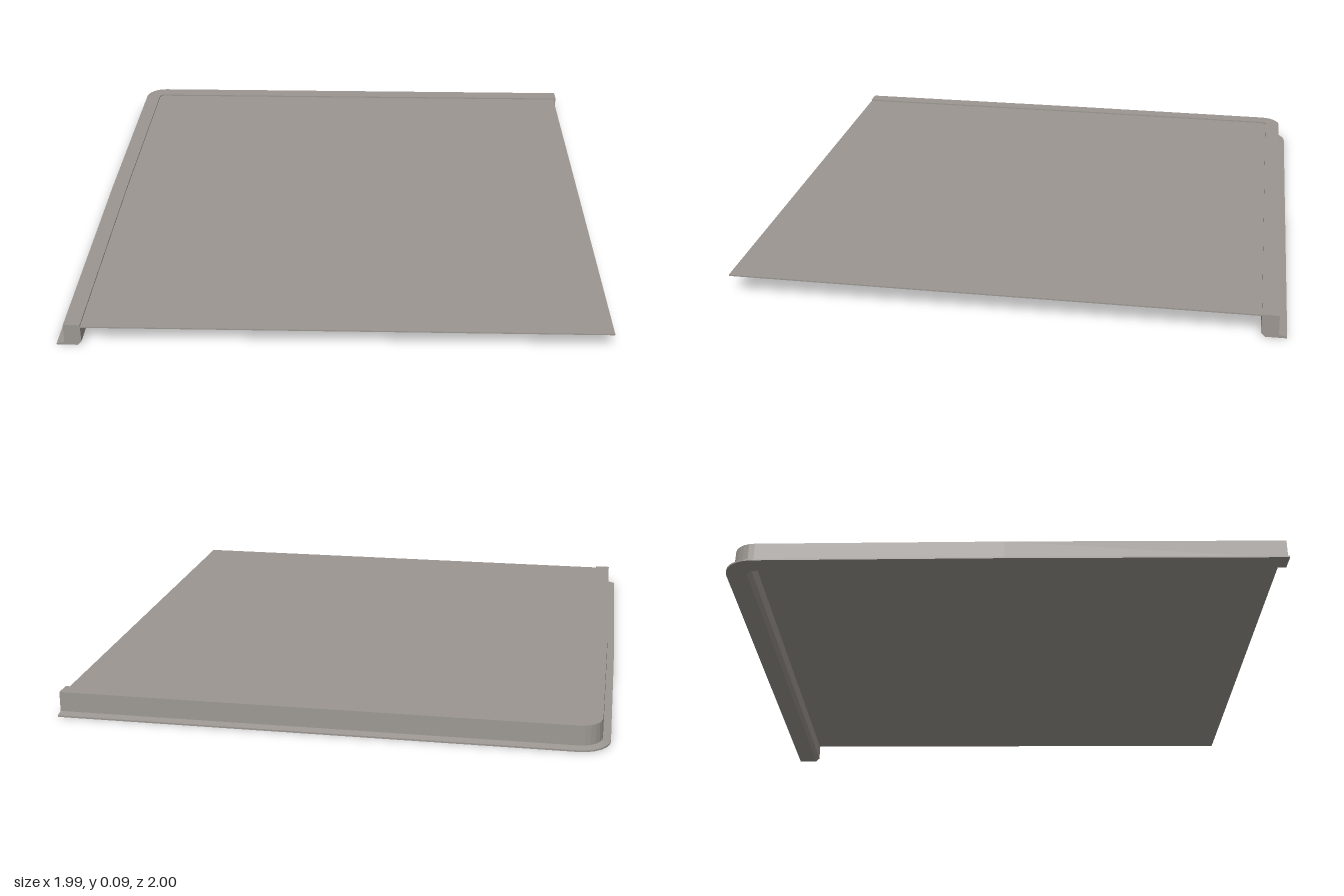
import * as THREE from 'three';

// Edge beam section: [distance inward from the outer edge, height]
const SECTION = [
  [0, 0], [0, 0.006], [0.028, 0.012], [0.03, 0.085],
  [0.09, 0.085], [0.09, 0.015], [0.075, 0],
];

// Stations along the beam: outer edge point and inward direction
function beamStations() {
  const R = 0.11, cx = -0.875, cz = -0.89, steps = 6;
  const stations = [
    { x: -1, z: 1, nx: 1, nz: 0 },
    { x: -0.997, z: 0, nx: 1, nz: 0 },
  ];
  for (let i = 0; i <= steps; i++) {
    const a = (i / steps) * Math.PI / 2;
    const nx = Math.cos(a), nz = Math.sin(a);
    stations.push({ x: cx - R * nx, z: cz - R * nz, nx, nz });
  }
  stations.push({ x: 0.99, z: -1, nx: 0, nz: 1 });
  return stations;
}

// Sweep the section through the stations and close both ends
function beamGeometry() {
  const rings = beamStations().map(s =>
    SECTION.map(([d, y]) => [s.x + s.nx * d, y, s.z + s.nz * d]));
  const n = SECTION.length, pos = [];
  const tri = (a, b, c) => pos.push(...a, ...b, ...c);
  for (let i = 0; i < rings.length - 1; i++) {
    for (let j = 0; j < n; j++) {
      const k = (j + 1) % n;
      const a = rings[i][j], b = rings[i][k], c = rings[i + 1][k], d = rings[i + 1][j];
      tri(a, b, c);
      tri(a, c, d);
    }
  }
  const outline = SECTION.map(p => new THREE.Vector2(...p));
  const first = rings[0], last = rings[rings.length - 1];
  for (const t of THREE.ShapeUtils.triangulateShape(outline, [])) {
    const area = THREE.ShapeUtils.area(t.map(i => outline[i]));
    const [a, b, c] = area > 0 ? t : [t[0], t[2], t[1]];
    tri(first[a], first[b], first[c]);
    tri(last[a], last[c], last[b]);
  }
  const g = new THREE.BufferGeometry();
  g.setAttribute('position', new THREE.Float32BufferAttribute(pos, 3));
  g.computeVertexNormals();
  return g;
}

export function createModel() {
  const group = new THREE.Group();
  group.name = 'slabWithEdgeBeam';
  const stone = new THREE.MeshStandardMaterial({ color: 0x9b9691 });
  stone.name = 'warm grey';

  // Rounded L-shaped beam along the right and back edges
  const beam = new THREE.Mesh(beamGeometry(), stone);
  beam.name = 'edgeBeam';
  group.add(beam);

  // Thin deck spanning from the top of the beam
  const x0 = -0.92, x1 = 0.98, z0 = -0.92, z1 = 1;
  const deck = new THREE.Mesh(new THREE.BoxGeometry(x1 - x0, 0.005, z1 - z0), stone);
  deck.name = 'deck';
  deck.position.set((x0 + x1) / 2, 0.0765, (z0 + z1) / 2);
  group.add(deck);

  return group;
}
